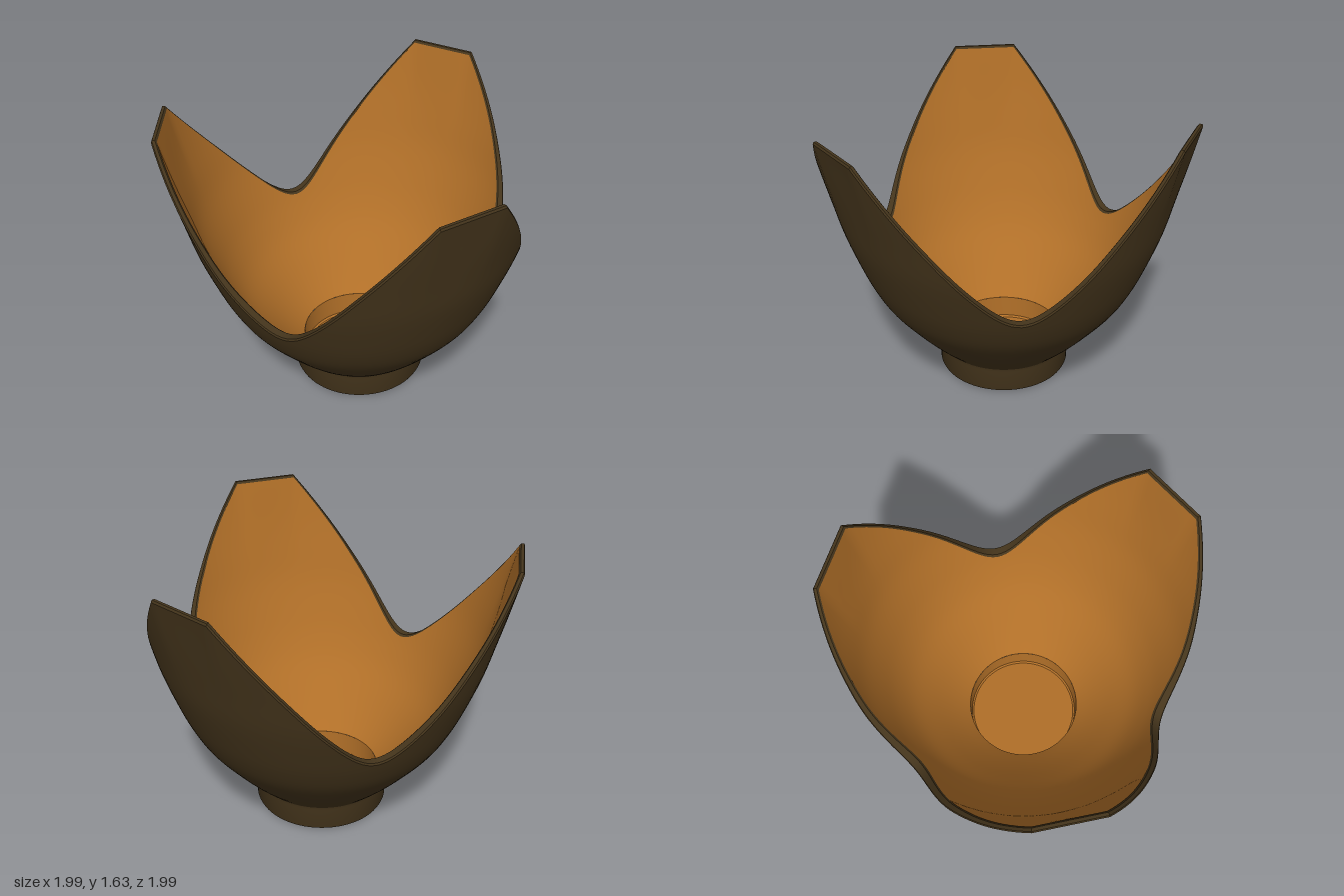
import * as THREE from 'three';
import { toCreasedNormals } from 'three/addons/utils/BufferGeometryUtils.js';

const TOP = 1.63, COLS = 180, RAD = Math.PI / 180;

// Outer wall profile as (height, radius), sampled into a smooth curve
const profile = new THREE.SplineCurve([
  [0.16, 0.39], [0.27, 0.5], [0.39, 0.605], [0.53, 0.715], [0.66, 0.787], [0.8, 0.845],
  [1.0, 0.915], [1.2, 0.967], [1.4, 1.017], [1.63, 1.07],
].map(([y, r]) => new THREE.Vector2(y, r))).getPoints(120);

function radiusAt(y) {
  let i = 1;
  while (i < profile.length - 1 && profile[i].x < y) i++;
  const a = profile[i - 1], b = profile[i];
  return a.y + (b.y - a.y) * (y - a.x) / (b.x - a.x);
}

// Degrees away from the nearest of the three petal tips (0 to 60)
const offTip = (deg) => Math.abs(((deg - 15 + 60) % 120 + 120) % 120 - 60);

// Rim height: flat tips with rounded valleys between them
function rimAt(deg) {
  const s = Math.min(1, (60 - offTip(deg)) / 50), c = 0.28;
  return 0.755 + (TOP - 0.755) * (Math.hypot(c, s) - c) / (Math.hypot(c, 1) - c);
}

// Wall radius; the tips flatten into straight edges near the top
function outerR(deg, y) {
  const d = offTip(deg), r = radiusAt(y);
  if (d >= 10) return r;
  const w = THREE.MathUtils.smoothstep(y, 1.0, TOP);
  return r * (1 + w * (Math.cos(10 * RAD) / Math.cos(d * RAD) - 1));
}
const innerR = (deg, y) => outerR(deg, y) - 0.03 - 0.07 * ((TOP - y) / 1.43) ** 2;

// Closed ring of columns; section(deg, v) returns [radius, height]
function ringSheet(rows, section) {
  const pos = [], index = [];
  for (let i = 0; i < COLS; i++) {
    const deg = 15 + i * 360 / COLS;
    for (let j = 0; j <= rows; j++) {
      const [r, y] = section(deg, j / rows);
      pos.push(r * Math.cos(deg * RAD), y, r * Math.sin(deg * RAD));
      if (j === rows) continue;
      const a = i * (rows + 1) + j, b = ((i + 1) % COLS) * (rows + 1) + j;
      index.push(a, a + 1, b, b, a + 1, b + 1);
    }
  }
  const g = new THREE.BufferGeometry();
  g.setAttribute('position', new THREE.Float32BufferAttribute(pos, 3));
  g.setIndex(index);
  g.computeVertexNormals();
  return g;
}

const lathe = (pts) => toCreasedNormals(
  new THREE.LatheGeometry(pts.map(([r, y]) => new THREE.Vector2(r, y)), 72), 0.6);

export function createModel() {
  const group = new THREE.Group();
  group.name = 'petalBowl';
  const dark = new THREE.MeshStandardMaterial({ color: 0x45351c });
  const amber = new THREE.MeshStandardMaterial({ color: 0xb06f28 });
  const add = (name, geometry, material) => {
    const mesh = new THREE.Mesh(geometry, material);
    mesh.name = name;
    mesh.position.set(-0.065, 0, 0.065);
    group.add(mesh);
  };
  const bevel = 0.012;

  // Round foot with softened edges
  add('foot', lathe([[0, 0], [0.367, 0], [0.379, 0.005], [0.385, 0.018], [0.385, 0.14], [0.39, 0.16]]), dark);

  // Outer wall, from the foot up to the petal edges
  add('outerWall', ringSheet(36, (deg, v) => {
    const y = 0.16 + (rimAt(deg) - bevel - 0.16) * v;
    return [outerR(deg, y), y];
  }), dark);

  // Rim joining outer and inner walls, with small bevels
  add('rim', toCreasedNormals(ringSheet(3, (deg, v) => {
    const h = rimAt(deg), k = Math.round(v * 3), y = k === 0 || k === 3 ? h - bevel : h;
    if (k < 2) return [outerR(deg, y) - (k ? 0.008 : 0), y];
    return [innerR(deg, y) + (k === 2 ? 0.006 : 0), y];
  }), 0.7), dark);

  // Inner wall, from the petal edges down to the floor recess
  add('innerWall', ringSheet(36, (deg, v) => {
    const top = rimAt(deg) - bevel, y = top + (0.2 - top) * v;
    return [innerR(deg, y), y];
  }), amber);

  // Sunken round floor inside the foot
  const r = innerR(75, 0.2);
  add('floor', lathe([[r, 0.2], [r - 0.005, 0.07], [r - 0.015, 0.06], [0, 0.06]]), amber);

  return group;
}
